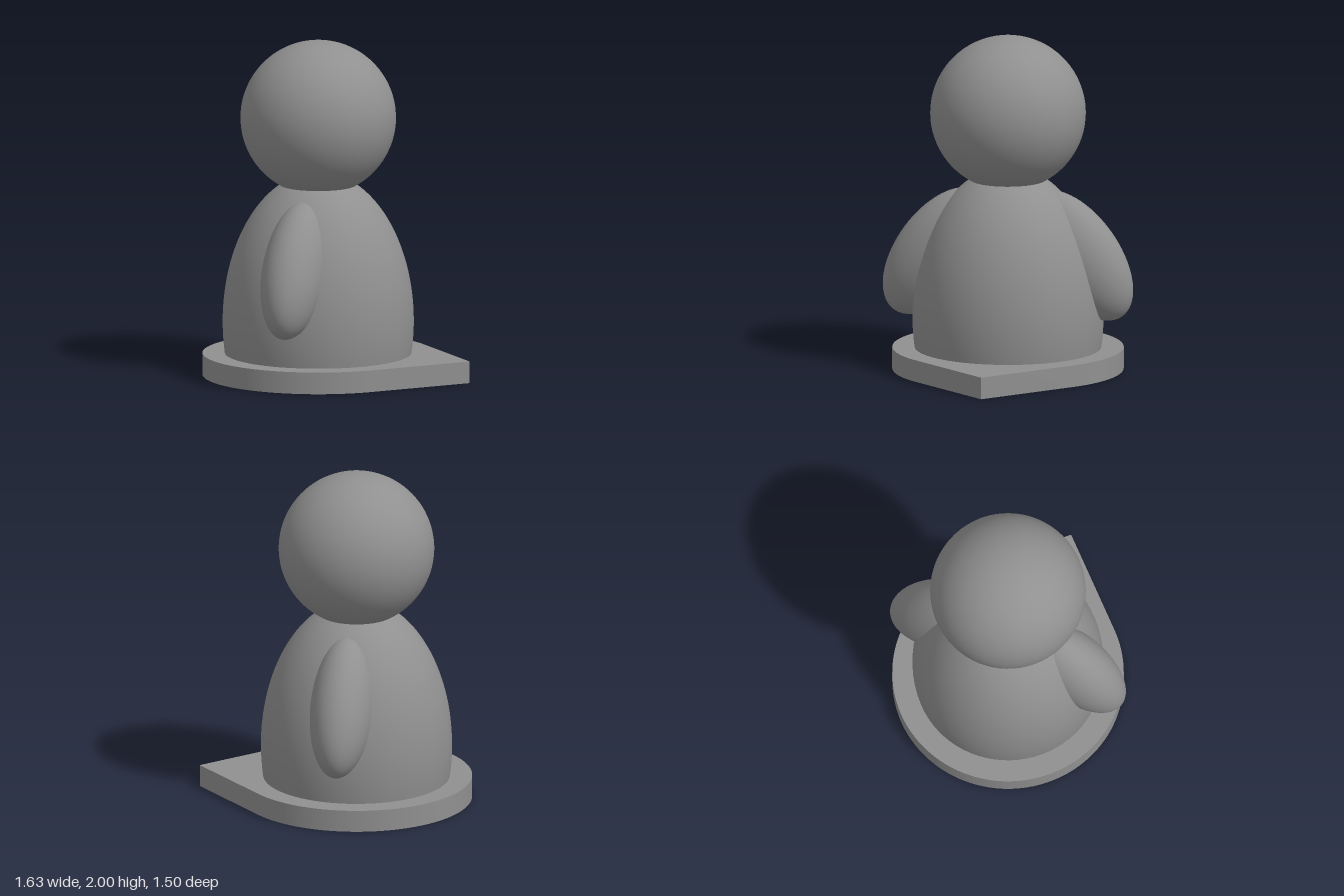
import * as THREE from 'three';
import { toCreasedNormals } from 'three/addons/utils/BufferGeometryUtils.js';

const material = new THREE.MeshStandardMaterial({ color: 0x909090 });
const AXIS_X = -0.13; // the figure stands off-centre on its pointed base
const BASE_R = 0.684, BASE_H = 0.13, TIP_X = 0.814;

function addPart(parent, name, geometry) {
  const mesh = new THREE.Mesh(geometry, material);
  mesh.name = name;
  parent.add(mesh);
  return mesh;
}

// Round slab whose sides run tangentially to a point at +x
function baseGeometry() {
  const a = Math.acos(BASE_R / (TIP_X - AXIS_X));
  const shape = new THREE.Shape();
  shape.absarc(AXIS_X, 0, BASE_R, a, 2 * Math.PI - a, false);
  shape.lineTo(TIP_X, 0);
  shape.closePath();
  const geometry = new THREE.ExtrudeGeometry(shape, { depth: BASE_H, bevelEnabled: false, curveSegments: 72 });
  geometry.rotateX(-Math.PI / 2);
  return toCreasedNormals(geometry, 0.4);
}

// Egg-shaped body: an ellipse profile cut off at the base
function bodyGeometry() {
  const radius = 0.565, height = 0.89, centreY = 0.32;
  const start = Math.asin((BASE_H - centreY) / height);
  const points = [];
  for (let i = 0; i <= 40; i++) {
    const t = start + (Math.PI / 2 - start) * i / 40;
    points.push(new THREE.Vector2(Math.max(0, radius * Math.cos(t)), centreY + height * Math.sin(t)));
  }
  return new THREE.LatheGeometry(points, 72);
}

export function createModel() {
  const model = new THREE.Group();
  model.name = 'figurine';
  addPart(model, 'base', baseGeometry());

  const figure = new THREE.Group();
  figure.name = 'figure';
  figure.position.x = AXIS_X;
  model.add(figure);

  addPart(figure, 'body', bodyGeometry());
  addPart(figure, 'head', new THREE.SphereGeometry(0.46, 64, 48)).position.y = 1.54;

  // Arms: flattened ellipsoids leaning outwards along z
  for (const side of [1, -1]) {
    const arm = addPart(figure, side > 0 ? 'frontArm' : 'backArm', new THREE.SphereGeometry(1, 48, 36));
    arm.scale.set(0.187, 0.443, 0.24);
    arm.position.set(0, 0.694, side * 0.426);
    arm.rotation.x = -side * 0.62;
  }
  return model;
}
